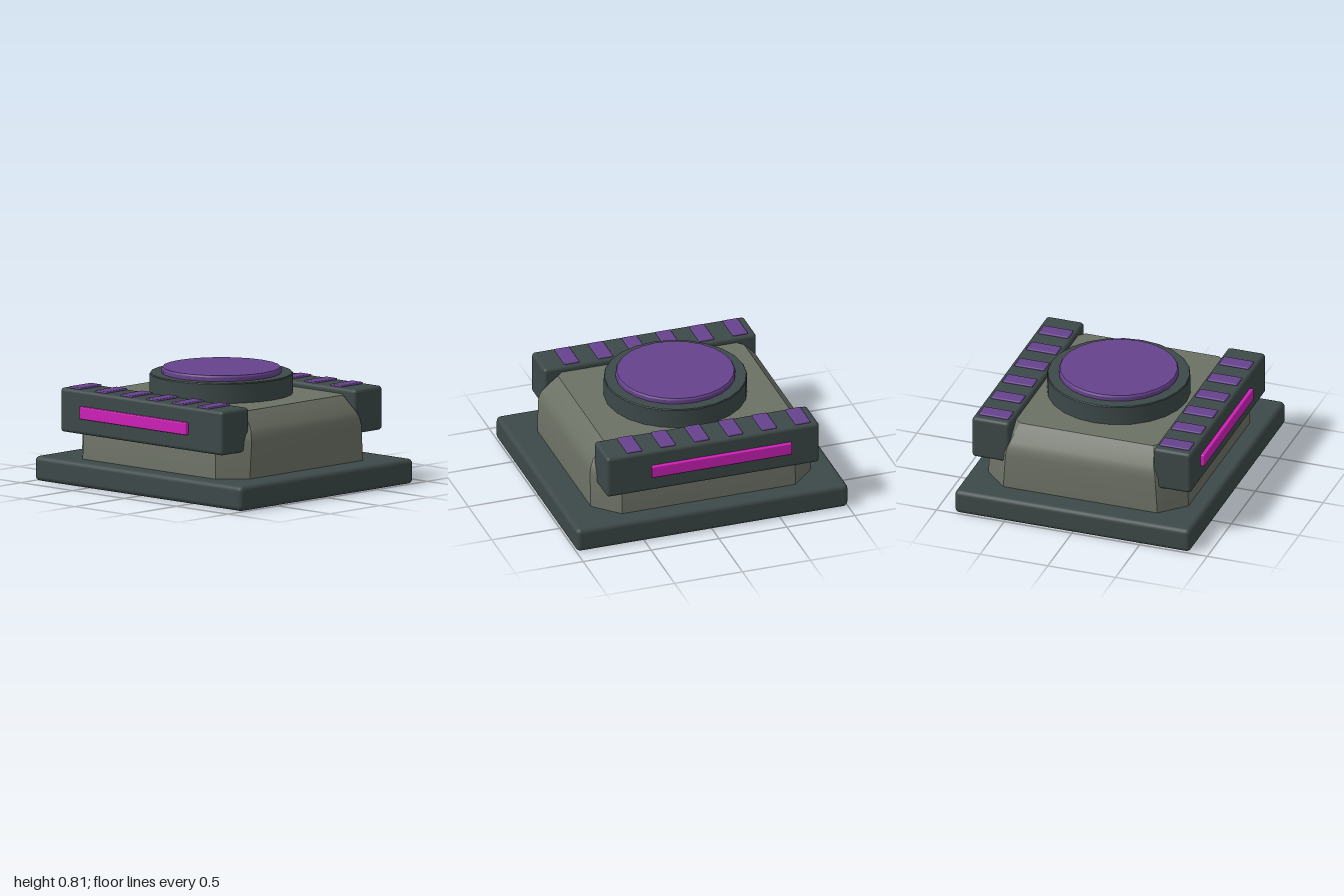
import * as THREE from 'three';
import { toCreasedNormals } from 'three/addons/utils/BufferGeometryUtils.js';
import { RoundedBoxGeometry } from 'three/addons/geometries/RoundedBoxGeometry.js';

const CENTER_Z = -0.02;

function material(name, color) {
  const m = new THREE.MeshStandardMaterial({ color });
  m.name = name;
  return m;
}

// Lofts chamfered rectangles [y, halfX, halfZ, chamfer] from bottom to top
function loftChamfered(levels) {
  const positions = [];
  const index = [];
  for (const [y, x, z, c] of levels) {
    const ring = [
      [x, -z + c], [x, z - c], [x - c, z], [-x + c, z],
      [-x, z - c], [-x, -z + c], [-x + c, -z], [x - c, -z],
    ];
    for (const [px, pz] of ring) positions.push(px, y, pz);
  }
  const last = (levels.length - 1) * 8;
  for (let i = 0; i < last; i += 8) {
    for (let j = 0; j < 8; j++) {
      const k = (j + 1) % 8;
      const a = i + j, b = i + k, c = a + 8, d = b + 8;
      index.push(a, c, b, b, c, d);
    }
  }
  for (let j = 1; j < 7; j++) {
    index.push(last, last + j + 1, last + j); // top cap
    index.push(0, j, j + 1); // bottom cap
  }
  const g = new THREE.BufferGeometry();
  g.setAttribute('position', new THREE.Float32BufferAttribute(positions, 3));
  g.setIndex(index);
  return toCreasedNormals(g, 0.5);
}

// Closed round profile with crisp edges
function turned(points) {
  const profile = points.map(([r, y]) => new THREE.Vector2(r, y));
  return toCreasedNormals(new THREE.LatheGeometry(profile, 24), 0.5);
}

export function createModel() {
  const model = new THREE.Group();
  const dark = material('dark slate', 0x3d4848);
  const stone = material('grey olive', 0x6c7165);
  const purple = material('purple', 0x66428c);
  const magenta = material('magenta', 0xcf20b8);

  function add(parent, name, geometry, mat, x, y, z) {
    const mesh = new THREE.Mesh(geometry, mat);
    mesh.name = name;
    mesh.position.set(x, y, z);
    parent.add(mesh);
    return mesh;
  }

  // Base slab
  add(model, 'base', new RoundedBoxGeometry(1.74, 0.175, 2, 3, 0.035), dark, 0, 0.0875, 0);

  // Tapered body with chamfered corners and sloping shoulders
  const bodyShape = loftChamfered([
    [0.16, 0.74, 0.81, 0.17],
    [0.43, 0.727, 0.81, 0.175],
    [0.48, 0.715, 0.8, 0.17],
    [0.52, 0.69, 0.78, 0.16],
    [0.61, 0.62, 0.703, 0.12],
    [0.63, 0.595, 0.685, 0.105],
  ]);
  add(model, 'body', bodyShape, stone, 0, 0, CENTER_Z + 0.005);

  // Round collar and raised disc on top
  add(model, 'collar', turned([[0, 0.6], [0.5, 0.6], [0.5, 0.765], [0.495, 0.772], [0, 0.772]]),
    dark, 0, 0, CENTER_Z - 0.005);
  add(model, 'disc', turned([[0, 0.76], [0.418, 0.76], [0.418, 0.8], [0.41, 0.812], [0, 0.812]]),
    purple, 0, 0, CENTER_Z - 0.005);

  // Side rails with top pads and a light strip
  for (const [side, label] of [[1, 'left'], [-1, 'right']]) {
    const rail = new THREE.Group();
    rail.name = label + 'Rail';
    model.add(rail);
    add(rail, 'railBlock', new RoundedBoxGeometry(0.277, 0.31, 1.565, 3, 0.025), dark,
      side * 0.67, 0.515, -0.025);
    for (let i = 0; i < 6; i++) {
      add(rail, 'railPad', new RoundedBoxGeometry(0.222, 0.03, 0.11, 2, 0.008), purple,
        side * 0.667, 0.667, -0.697 + i * 0.248);
    }
    add(rail, 'lightStrip', new RoundedBoxGeometry(0.05, 0.088, 1.03, 2, 0.008), magenta,
      side * 0.81, 0.517, -0.083);
  }

  return model;
}
